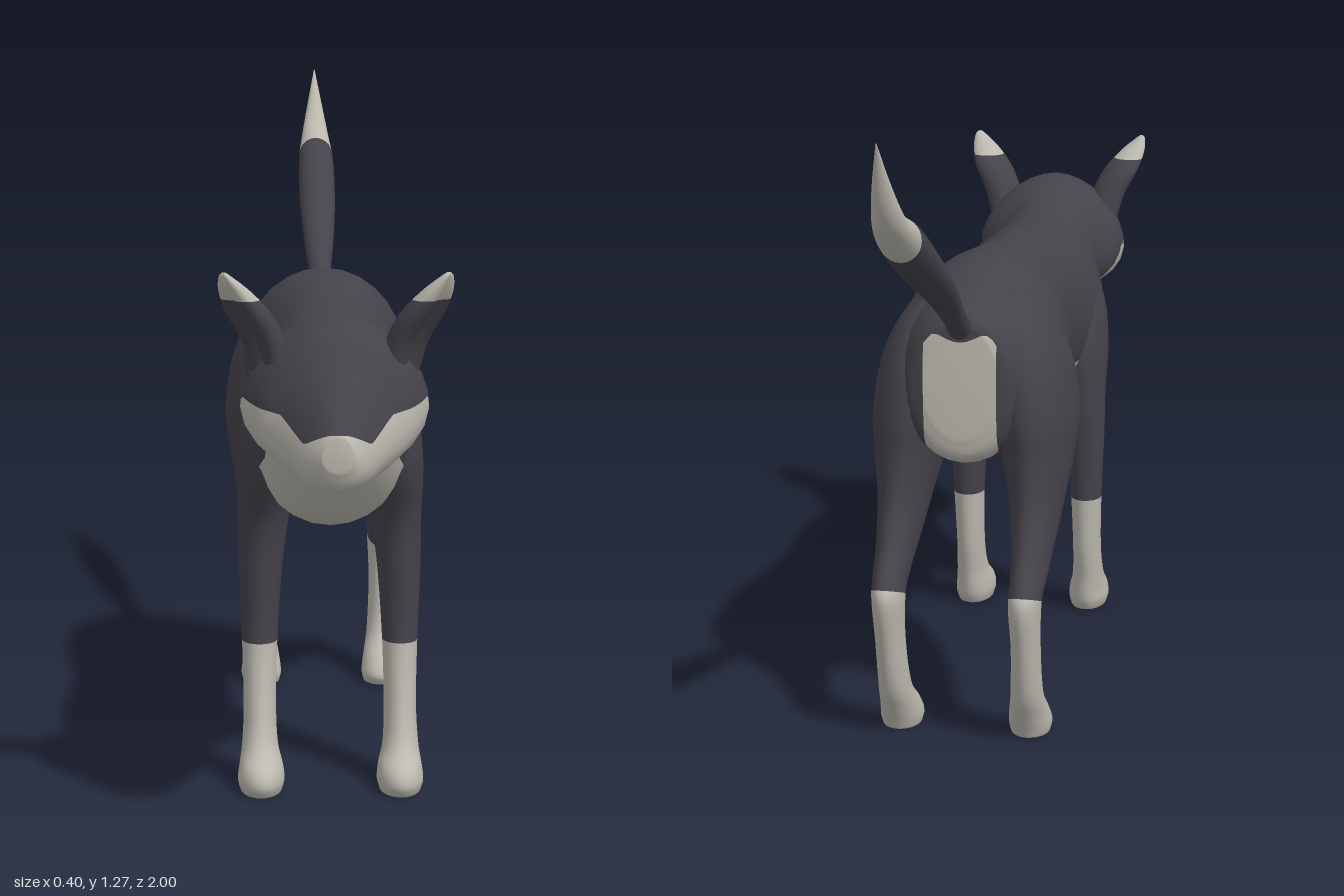
import * as THREE from 'three';

const dark = new THREE.MeshStandardMaterial({ color: 0x45434a });
dark.name = 'charcoal fur';
const light = new THREE.MeshStandardMaterial({ color: 0xbcb9af });
light.name = 'pale fur';

// Piecewise linear lookup through [input, output] points
function lookup(points, v) {
  if (v <= points[0][0]) return points[0][1];
  for (let i = 1; i < points.length; i++) {
    const [a, ya] = points[i - 1], [b, yb] = points[i];
    if (v <= b) return ya + (yb - ya) * (v - a) / (b - a);
  }
  return points[points.length - 1][1];
}

// Cuts every triangle along field = 0: positive side pale, negative side dark
function paint(geo, field) {
  const pos = geo.attributes.position, nor = geo.attributes.normal, idx = geo.index;
  const sides = [[], []];
  const mix = (a, b) => {
    const t = a.f / (a.f - b.f);
    return { p: a.p.clone().lerp(b.p, t), n: a.n.clone().lerp(b.n, t).normalize(), f: 0 };
  };
  for (let i = 0; i < idx.count; i += 3) {
    const v = [0, 1, 2].map((k) => {
      const p = new THREE.Vector3().fromBufferAttribute(pos, idx.getX(i + k));
      const n = new THREE.Vector3().fromBufferAttribute(nor, idx.getX(i + k));
      return { p, n, f: field(p) };
    });
    const up = v.map((q) => q.f > 0);
    const count = up.filter(Boolean).length;
    if (count === 0 || count === 3) {
      sides[count ? 1 : 0].push(...v);
      continue;
    }
    const k = up.indexOf(count === 1);
    const a = v[k], b = v[(k + 1) % 3], c = v[(k + 2) % 3];
    const ab = mix(a, b), ac = mix(a, c);
    sides[count === 1 ? 1 : 0].push(a, ab, ac);
    sides[count === 1 ? 0 : 1].push(ab, b, c, ab, c, ac);
  }
  const all = [...sides[0], ...sides[1]];
  const out = new THREE.BufferGeometry();
  out.setAttribute('position', new THREE.Float32BufferAttribute(all.flatMap((q) => q.p.toArray()), 3));
  out.setAttribute('normal', new THREE.Float32BufferAttribute(all.flatMap((q) => q.n.toArray()), 3));
  out.addGroup(0, sides[0].length, 0);
  out.addGroup(sides[0].length, sides[1].length, 1);
  return out;
}

// Smooth skin through rows [t, low, high, xCentre, halfWidth], t along 'y' or 'z'
function loft(name, axis, rows, field, { side = 1, taper = 0, dent = false } = {}) {
  const curveA = new THREE.CatmullRomCurve3(
    rows.map((r) => new THREE.Vector3(r[0], r[1], r[2])), false, 'catmullrom', 0.5);
  const curveB = new THREE.CatmullRomCurve3(
    rows.map((r) => new THREE.Vector3(r[3], r[4], 0)), false, 'catmullrom', 0.5);
  const N = 28, steps = (rows.length - 1) * 5;
  const verts = [], index = [];
  for (let s = -1; s <= steps + 1; s++) {
    const u = Math.min(Math.max(s / steps, 0), 1);
    const A = curveA.getPoint(u), B = curveB.getPoint(u);
    const size = s < 0 || s > steps ? 0 : 1; // end rings close to a point
    for (let j = 0; j < N; j++) {
      const a = (j / N) * Math.PI * 2, c = Math.cos(a), n = Math.sin(a);
      let k = size;
      if (dent) k *= 1 - 0.8 * Math.max(0, 0.75 * c * side + 0.66 * n) ** 2;
      const x = side * B.x + k * B.y * c * (1 - taper * n);
      const w = (A.y + A.z) / 2 + k * n * (A.z - A.y) / 2;
      verts.push(x, ...(axis === 'z' ? [w, A.x] : [A.x, w]));
    }
  }
  for (let s = 0; s < steps + 2; s++) {
    for (let j = 0; j < N; j++) {
      const a = s * N + j, b = s * N + (j + 1) % N, c = a + N, d = b + N;
      if (axis === 'z') index.push(a, b, c, b, d, c);
      else index.push(a, c, b, b, c, d);
    }
  }
  const geo = new THREE.BufferGeometry();
  geo.setAttribute('position', new THREE.Float32BufferAttribute(verts, 3));
  geo.setIndex(index);
  geo.computeVertexNormals();
  const mesh = new THREE.Mesh(paint(geo, field), [dark, light]);
  mesh.name = name;
  return mesh;
}

export function createModel() {
  const model = new THREE.Group();
  model.name = 'animal';

  // Torso with pale chest, belly and rump patch
  const bellyLine = [[-0.07, 0.4], [-0.04, 0.54], [0, 0.625], [0.35, 0.59], [0.5, 0.58], [0.6, 0.635], [0.7, 0.73]];
  model.add(loft('torso', 'z', [
    [-0.33, 0.6, 0.82, 0, 0.07],
    [-0.31, 0.55, 0.84, 0, 0.11],
    [-0.22, 0.53, 0.87, 0, 0.15],
    [-0.08, 0.535, 0.902, 0, 0.165],
    [0.05, 0.53, 0.897, 0, 0.15],
    [0.2, 0.51, 0.88, 0, 0.135],
    [0.35, 0.49, 0.87, 0, 0.14],
    [0.45, 0.485, 0.862, 0, 0.155],
    [0.53, 0.5, 0.858, 0, 0.15],
    [0.6, 0.535, 0.86, 0, 0.13],
    [0.67, 0.59, 0.875, 0, 0.115],
    [0.76, 0.67, 0.895, 0, 0.09],
  ], (p) => Math.max(
    lookup(bellyLine, p.z) - p.y,
    Math.min(-0.285 - p.z, 0.07 - Math.abs(p.x), 0.8 - p.y))));

  // Head with pale muzzle and cheeks
  const muzzleLine = [[0.68, 0.64], [0.71, 0.7], [0.74, 0.76], [0.8, 0.775], [0.9, 0.76], [0.96, 0.72], [0.99, 0.74]];
  model.add(loft('head', 'z', [
    [0.66, 0.68, 0.86, 0, 0.09],
    [0.7, 0.655, 0.885, 0, 0.135],
    [0.74, 0.655, 0.905, 0, 0.157],
    [0.8, 0.648, 0.912, 0, 0.155],
    [0.86, 0.64, 0.895, 0, 0.13],
    [0.9, 0.635, 0.85, 0, 0.098],
    [0.95, 0.635, 0.795, 0, 0.065],
    [0.98, 0.65, 0.757, 0, 0.042],
    [0.997, 0.68, 0.737, 0, 0.025],
  ], (p) => lookup(muzzleLine, p.z) - p.y, { taper: 0.18 }));

  // Tail with pale tip
  model.add(loft('tail', 'z', [
    [-1, 1.268, 1.27, 0, 0.001],
    [-0.96, 1.15, 1.21, 0, 0.018],
    [-0.9, 1.085, 1.145, 0, 0.031],
    [-0.8, 1.025, 1.108, 0, 0.039],
    [-0.65, 0.955, 1.03, 0, 0.039],
    [-0.5, 0.89, 0.95, 0, 0.032],
    [-0.4, 0.835, 0.89, 0, 0.024],
    [-0.32, 0.785, 0.84, 0, 0.024],
    [-0.26, 0.75, 0.85, 0, 0.035],
  ], (p) => -0.832 - p.z));

  for (const side of [1, -1]) {
    const label = side > 0 ? 'left' : 'right';

    // Front leg, paw to shoulder
    model.add(loft(label + 'FrontLeg', 'y', [
      [0, 0.445, 0.575, 0.128, 0.038],
      [0.02, 0.435, 0.585, 0.128, 0.043],
      [0.045, 0.43, 0.575, 0.128, 0.04],
      [0.08, 0.425, 0.53, 0.13, 0.033],
      [0.15, 0.41, 0.503, 0.13, 0.03],
      [0.27, 0.397, 0.482, 0.13, 0.033],
      [0.4, 0.385, 0.488, 0.128, 0.04],
      [0.5, 0.37, 0.505, 0.122, 0.047],
      [0.6, 0.355, 0.56, 0.113, 0.058],
      [0.7, 0.37, 0.58, 0.1, 0.058],
      [0.78, 0.4, 0.55, 0.09, 0.03],
    ], (p) => 0.265 - p.y, { side }));

    // Hind leg, paw to thigh
    model.add(loft(label + 'HindLeg', 'y', [
      [0, -0.315, -0.215, 0.128, 0.038],
      [0.02, -0.325, -0.208, 0.128, 0.042],
      [0.05, -0.342, -0.23, 0.128, 0.038],
      [0.1, -0.37, -0.28, 0.13, 0.031],
      [0.2, -0.4, -0.303, 0.132, 0.028],
      [0.29, -0.423, -0.305, 0.132, 0.031],
      [0.33, -0.405, -0.25, 0.133, 0.034],
      [0.38, -0.365, -0.17, 0.132, 0.04],
      [0.46, -0.325, -0.075, 0.13, 0.052],
      [0.55, -0.315, -0.01, 0.125, 0.07],
      [0.62, -0.32, 0.02, 0.12, 0.079],
      [0.72, -0.31, 0.01, 0.105, 0.077],
      [0.8, -0.27, -0.03, 0.09, 0.055],
      [0.86, -0.2, -0.08, 0.07, 0.02],
    ], (p) => 0.28 + (-0.315 - p.z) * 0.38 - p.y, { side }));

    // Hollow ear with pale tip
    model.add(loft(label + 'Ear', 'y', [
      [0.81, 0.75, 0.85, 0.11, 0.04],
      [0.87, 0.765, 0.86, 0.125, 0.042],
      [0.92, 0.785, 0.878, 0.15, 0.043],
      [0.96, 0.825, 0.882, 0.172, 0.03],
      [0.985, 0.85, 0.88, 0.185, 0.013],
      [0.993, 0.862, 0.872, 0.187, 0.004],
    ], (p) => p.y - 0.945, { side, dent: true }));
  }
  return model;
}
